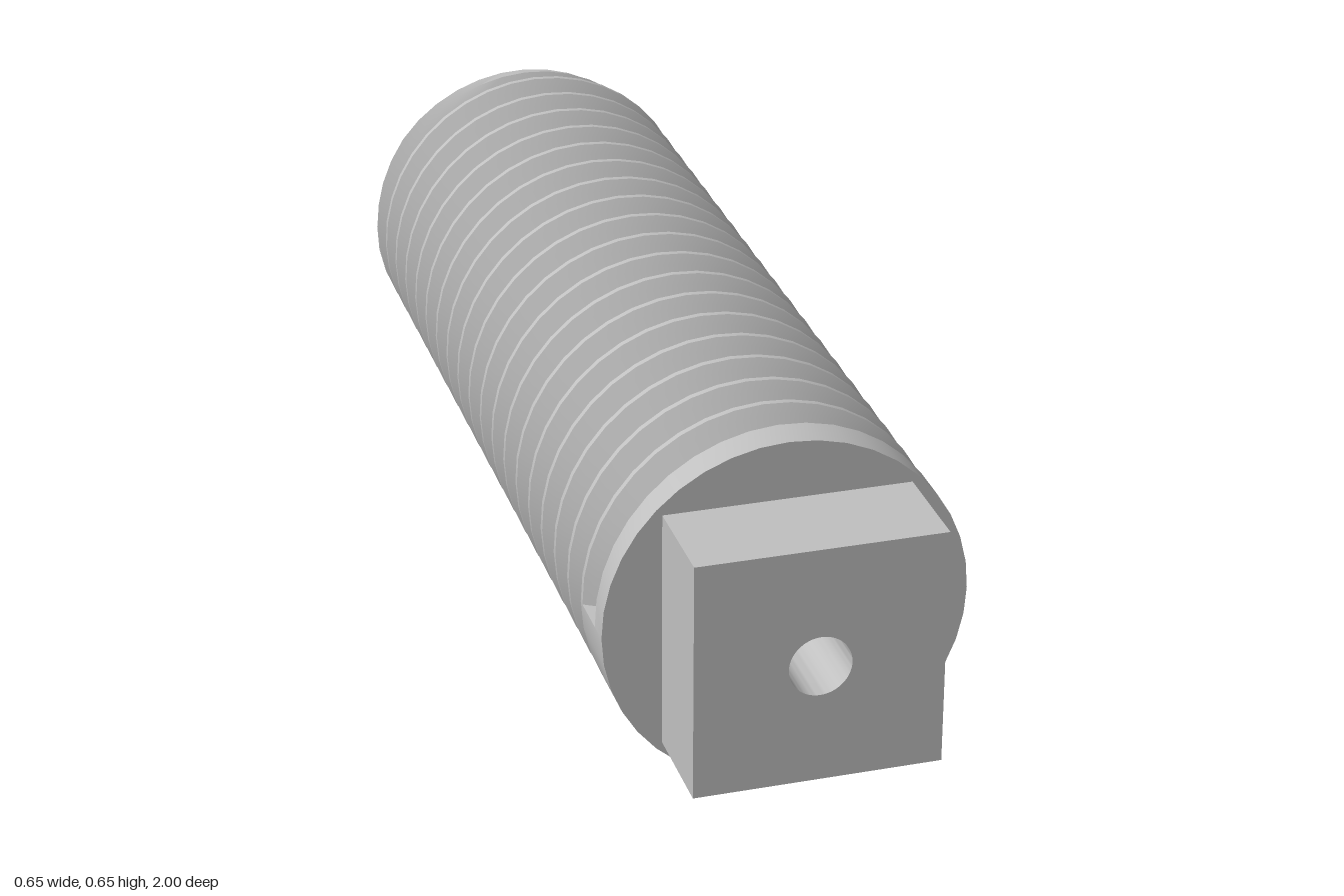
import * as THREE from 'three';
import { toCreasedNormals } from 'three/addons/utils/BufferGeometryUtils.js';

const R = 0.323, ROOT = 0.275;        // crest and root radius
const PITCH = 0.0909, SIDES = 40;
const SHOULDER = 0.816, END = -1;     // z range of the shank
const HEAD = 0.218, HOLE = 0.055;

// Thread groove centre at an angle, for the k-th turn (right-handed)
const grooveZ = (angle, k) => 0.711 + PITCH * ((angle - Math.PI / 2) / (2 * Math.PI) - k);
const HALF_TOP = 0.0398, HALF_ROOT = 0.0114;

// Profile [radius, z] of the shank along one angle, chamfered at the far end
function threadProfile(angle) {
  const points = [[R, SHOULDER]];
  const flankSteps = 3;
  for (let k = 0; k < 21; k++) {
    const c = grooveZ(angle, k);
    for (const side of [1, -1]) {
      for (let s = 0; s <= flankSteps; s++) {
        const t = side > 0 ? s / flankSteps : 1 - s / flankSteps;
        points.push([
          THREE.MathUtils.lerp(R, ROOT, t),
          c + side * THREE.MathUtils.lerp(HALF_TOP, HALF_ROOT, t),
        ]);
      }
    }
  }
  return points.map(([r, z]) => {
    const zc = Math.max(z, END);
    return [Math.min(r, ROOT + zc - END), zc];
  });
}

function threadGeometry() {
  const positions = [];
  const triangle = (a, b, c) => {
    const area = b.clone().sub(a).cross(c.clone().sub(a)).length();
    if (area > 1e-9) for (const p of [a, b, c]) positions.push(p.x, p.y, p.z);
  };
  const column = (j) => {
    const angle = -Math.PI + (j / SIDES) * 2 * Math.PI;
    return threadProfile(angle).map(([r, z]) =>
      new THREE.Vector3(r * Math.cos(angle), r * Math.sin(angle), z));
  };
  for (let j = 0; j < SIDES; j++) {
    const p = column(j), q = column(j + 1);
    for (let i = 0; i < p.length - 1; i++) {
      triangle(p[i], p[i + 1], q[i]);
      triangle(q[i], p[i + 1], q[i + 1]);
    }
  }
  // Wall where the groove stops abruptly beside the collar
  const c = grooveZ(Math.PI, 0);
  const wall = [[R, HALF_TOP], [ROOT, HALF_ROOT], [ROOT, -HALF_ROOT], [R, -HALF_TOP]]
    .map(([r, dz]) => new THREE.Vector3(-r, 0, c + dz));
  triangle(wall[0], wall[1], wall[2]);
  triangle(wall[0], wall[2], wall[3]);

  const geometry = new THREE.BufferGeometry();
  geometry.setAttribute('position', new THREE.Float32BufferAttribute(positions, 3));
  return toCreasedNormals(geometry, 0.4);
}

// Square head with a round hole through it
function headGeometry() {
  const shape = new THREE.Shape();
  shape.moveTo(-HEAD, -HEAD);
  shape.lineTo(HEAD, -HEAD);
  shape.lineTo(HEAD, HEAD);
  shape.lineTo(-HEAD, HEAD);
  shape.closePath();
  shape.holes.push(new THREE.Path().absarc(0, 0, HOLE, 0, Math.PI * 2, true));
  const geometry = new THREE.ExtrudeGeometry(shape, {
    depth: 1 - SHOULDER, bevelEnabled: false, curveSegments: 32,
  });
  return toCreasedNormals(geometry, 0.4);
}

export function createModel() {
  const steel = new THREE.MeshStandardMaterial({ color: 0xc0c0c0 });
  steel.name = 'steelGrey';
  const steelInside = steel.clone();
  steelInside.side = THREE.DoubleSide;

  const model = new THREE.Group();
  model.name = 'squareHeadScrew';
  const add = (name, geometry, z = 0, material = steel) => {
    const mesh = new THREE.Mesh(geometry, material);
    mesh.name = name;
    mesh.position.z = z;
    model.add(mesh);
    return mesh;
  };

  add('threadedShank', threadGeometry());
  add('shoulderFace', new THREE.RingGeometry(0.045, R, SIDES), SHOULDER);
  add('endFace', new THREE.CircleGeometry(ROOT, SIDES), END).rotation.y = Math.PI;
  add('squareHead', headGeometry(), SHOULDER);

  // Tapered bottom of the centre hole
  const pocket = new THREE.CylinderGeometry(0.045, 0.035, 0.05, SIDES, 1, true).rotateX(Math.PI / 2);
  add('holeTaper', pocket, SHOULDER - 0.025, steelInside);
  add('holeBottom', new THREE.CircleGeometry(0.035, SIDES), SHOULDER - 0.05);

  model.position.y = R;
  const root = new THREE.Group();
  root.name = 'screw';
  root.add(model);
  return root;
}
